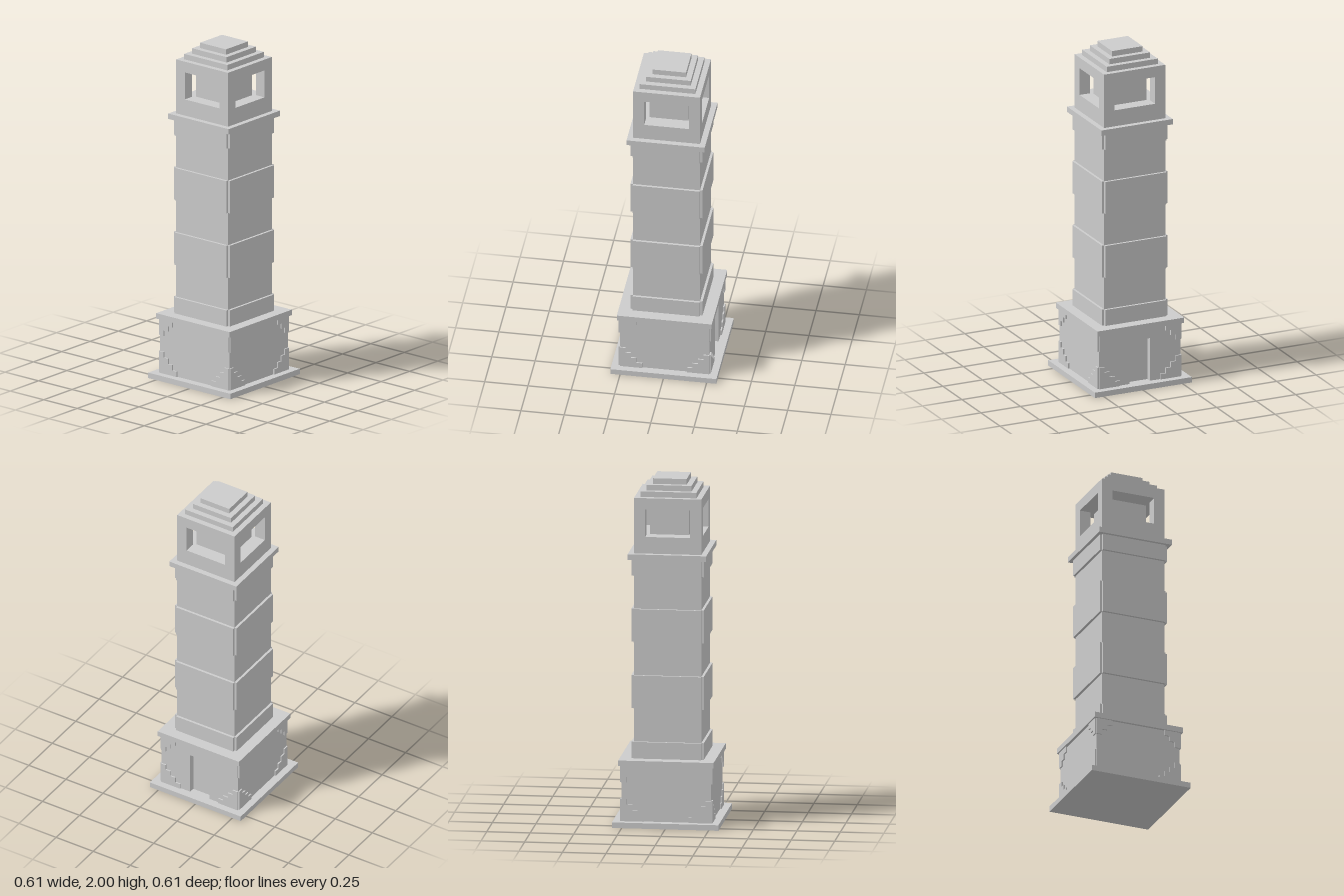
import * as THREE from 'three';

const U = 2 / 62; // one building unit; the tower is 62 units tall
const material = new THREE.MeshStandardMaterial({ color: 0xcccccc, flatShading: true });

function addMesh(parent, name, geometry) {
  const mesh = new THREE.Mesh(geometry, material);
  mesh.name = name;
  parent.add(mesh);
  return mesh;
}

// Box from y0 to y1 with half-extents hx, hz (all in units), centred on (0, z)
function block(parent, name, hx, y0, y1, hz = hx, z = 0) {
  const mesh = addMesh(parent, name, new THREE.BoxGeometry(2 * hx * U, (y1 - y0) * U, 2 * hz * U));
  mesh.position.set(0, (y0 + y1) / 2 * U, z * U);
  return mesh;
}

const toShape = (points) => new THREE.Shape(points.map(([x, y]) => new THREE.Vector2(x * U, y * U)));

// Upright slab with outline in x/y, reaching from z0 to z0 + depth
function slab(parent, name, shape, z0, depth) {
  const mesh = addMesh(parent, name, new THREE.ExtrudeGeometry(shape, { depth: depth * U, bevelEnabled: false }));
  mesh.position.z = z0 * U;
  return mesh;
}

// Stair-stepped corner panel; side = -1 or 1, dir = 1 rises from y0, -1 hangs from y0
function steppedCorner(steps, side, y0, dir) {
  const points = [[side * 8, y0]];
  for (let i = 0; i < steps; i++) {
    const x = side * (8 - steps + i);
    points.push([x, y0 + dir * i], [x, y0 + dir * (i + 1)]);
  }
  points.push([side * 8, y0 + dir * steps]);
  return toShape(points);
}

export function createModel() {
  const tower = new THREE.Group();
  tower.name = 'tower';

  // Base with a recessed doorway at the back
  block(tower, 'basePlate', 9.5, 0, 1);
  block(tower, 'baseBlock', 8, 1, 11, 7.5, 0.5);
  const doorWall = toShape([[-8, 1], [-2, 1], [-2, 9], [2, 9], [2, 1], [8, 1], [8, 11], [-8, 11]]);
  slab(tower, 'doorwayWall', doorWall, -8, 1);
  block(tower, 'baseCornice', 8.5, 11, 12);

  // Shaft and upper cornice
  block(tower, 'shaft', 6, 12, 48);
  block(tower, 'upperCornice', 7, 48, 49);

  // Stepped corner panels and shaft bands, repeated on all four faces
  const bands = [[12, 15], [21, 27], [33, 39], [45, 48]];
  for (let i = 0; i < 4; i++) {
    const face = new THREE.Group();
    face.name = 'faceTrim';
    face.rotation.y = i * Math.PI / 2;
    for (const side of [-1, 1]) {
      slab(face, 'lowerCornerPanel', steppedCorner(4, side, 1, 1), 8, 0.25);
      slab(face, 'upperCornerPanel', steppedCorner(3, side, 11, -1), 8, 0.25);
    }
    for (const [y0, y1] of bands) block(face, 'shaftBand', 6, y0, y1, 0.25, 6.2);
    tower.add(face);
  }

  // Lantern room: openings on all four sides around a solid core
  const wall = toShape([[-6, 49], [6, 49], [6, 59], [-6, 59]]);
  wall.holes.push(toShape([[-4, 52], [-4, 57], [4, 57], [4, 52]]));
  slab(tower, 'lanternFrontWall', wall, 4, 2);
  slab(tower, 'lanternBackWall', wall, -6, 2);
  block(tower, 'lanternFloor', 6, 49, 52, 4);
  block(tower, 'lanternCeiling', 6, 57, 59, 4);
  block(tower, 'lanternCore', 3.5, 52, 56.5);

  // Stepped roof
  for (let i = 0; i < 3; i++) block(tower, 'roofStep', 5 - i, 59 + i, 60 + i);

  return tower;
}
